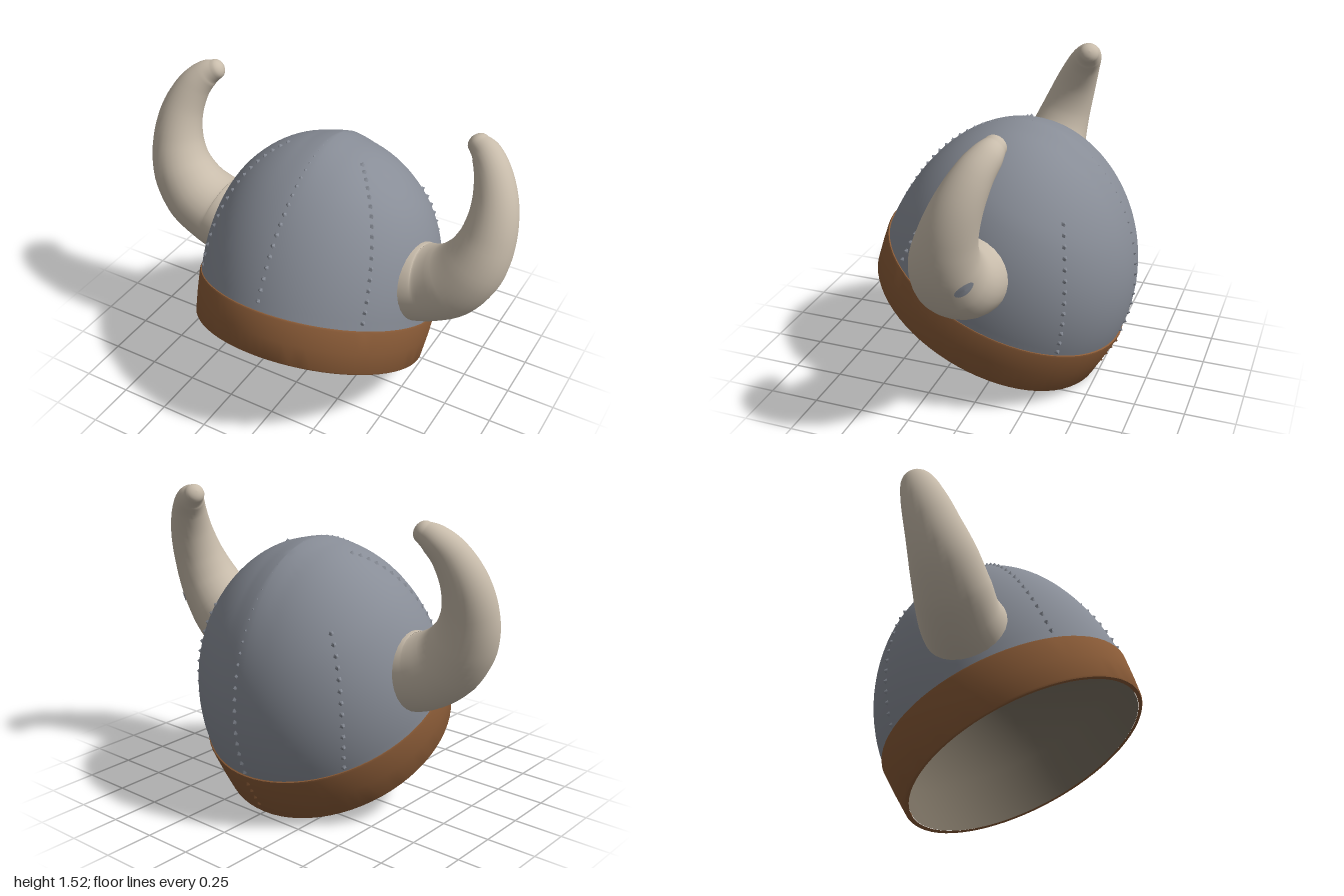
import * as THREE from 'three';
import { mergeVertices, mergeGeometries, toCreasedNormals } from 'three/addons/utils/BufferGeometryUtils.js';

const mat = (name, color) => new THREE.MeshStandardMaterial({ name, color });
const V2 = (x, y) => new THREE.Vector2(x, y);
const V3 = (x, y, z) => new THREE.Vector3(x, y, z);

// Helmet shell: narrower in x with fuller shoulders, upper part leans slightly forward
const R = 0.65, H = 0.82, BASE = 0.24;
const rise = v => Math.max(0, (v - BASE) / H);
const narrow = v => 0.93 + 0.06 * Math.min(1, rise(v) * 1.5);
const lean = v => 0.08 * rise(v) ** 2;
// The band is a little taller at the back
const slant = (y, z) => y + z * (0.02 - 0.16 * y);

function shellPoint(az, t) {
  const r = R * Math.cos(t), v = BASE + H * Math.sin(t);
  return V3(r * Math.sin(az) * narrow(v), v, r * Math.cos(az) + lean(v));
}

function shellNormal(az, t) {
  return V3(Math.cos(t) * Math.sin(az) / R, Math.sin(t) / H, Math.cos(t) * Math.cos(az) / R).normalize();
}

// Half shell of the given scale above the lower points, facing out or in
function shellGeometry(scale, lower, inward, ridge) {
  const pts = [...lower];
  for (let i = 0; i <= 28; i++) {
    const t = i / 28 * Math.PI / 2;
    pts.push(V2(i === 28 ? 0 : R * scale * Math.cos(t), BASE + H * scale * Math.sin(t)));
  }
  if (inward) pts.reverse();
  const lathe = new THREE.LatheGeometry(pts, 72);
  const p = lathe.attributes.position;
  for (let i = 0; i < p.count; i++) {
    const y = p.getY(i), x = p.getX(i) * narrow(y), z = p.getZ(i);
    const crest = ridge * Math.max(0, 1 - Math.abs(x) / 0.1) * Math.max(0, (y - 0.6) / 0.5);
    p.setXYZ(i, x, y < 0.1 ? slant(y, z) : y + crest, z + lean(y));
  }
  lathe.deleteAttribute('uv');
  lathe.deleteAttribute('normal');
  const g = mergeVertices(lathe, 1e-5);
  g.computeVertexNormals();
  return g;
}

// Brow band, open on the inside where the lining covers it
function bandGeometry() {
  const profile = [[0.615, 0.002], [0.634, 0], [0.639, 0.008], [0.651, 0.12], [0.66, 0.238],
    [0.657, 0.247], [0.64, 0.25]].map(([x, y]) => V2(x, y));
  const g = new THREE.LatheGeometry(profile, 72).scale(0.925, 1, 1);
  const p = g.attributes.position;
  for (let i = 0; i < p.count; i++) p.setY(i, slant(p.getY(i), p.getZ(i)));
  return toCreasedNormals(g, 0.7);
}

// Small pointed stitches placed on the given points and normals
function stitches(list) {
  const up = V3(0, 1, 0);
  return mergeGeometries(list.map(({ p, n }) => {
    const g = new THREE.ConeGeometry(0.02, 0.02, 5).translate(0, 0.003, 0);
    g.applyQuaternion(new THREE.Quaternion().setFromUnitVectors(up, n));
    return g.translate(p.x, p.y, p.z);
  }));
}

// Seam running up the shell, its azimuth turning from az0 to az1
function seam(az0, az1, t0, t1) {
  const n = Math.round((t1 - t0) * 0.74 / 0.05);
  return Array.from({ length: n + 1 }, (_, i) => {
    const az = az0 + (az1 - az0) * i / n, t = t0 + (t1 - t0) * i / n;
    return { p: shellPoint(az, t), n: shellNormal(az, t) };
  });
}

// Horn centre line and radius at each station, for the +x side
const hornPath = new THREE.CatmullRomCurve3([
  V3(0.535, 0.743, 0), V3(0.625, 0.765, 0), V3(0.735, 0.835, 0.01), V3(0.826, 0.955, 0), V3(0.87, 1.1, -0.035),
  V3(0.867, 1.25, -0.085), V3(0.82, 1.38, -0.14), V3(0.765, 1.445, -0.178), V3(0.718, 1.474, -0.195)]);
const hornRadius = [0.198, 0.188, 0.178, 0.157, 0.13, 0.108, 0.086, 0.07, 0.052];

function hornPoint(t, a, lift = 0, shrink = 1) {
  const c = hornPath.getPoint(t), tan = hornPath.getTangent(t);
  const f = Math.min(t * 8, 7.999), i = Math.floor(f);
  const r = (hornRadius[i] + (hornRadius[i + 1] - hornRadius[i]) * (f - i)) * shrink + lift;
  const side = V3(0, 0, 1).addScaledVector(tan, -tan.z).normalize();
  const out = side.clone().cross(tan).negate();
  return c.addScaledVector(out, r * Math.cos(a)).addScaledVector(side, r * Math.sin(a) * 1.03);
}

// Join equal rings of points into a skin and close the last ring
function skin(rings) {
  const n = rings[0].length, pos = rings.flat().flatMap(p => [p.x, p.y, p.z]), idx = [];
  for (let i = 0; i < rings.length - 1; i++)
    for (let j = 0; j < n; j++) {
      const k = (j + 1) % n, a = i * n + j, b = i * n + k;
      idx.push(a, b, a + n, b, b + n, a + n);
    }
  const o = (rings.length - 1) * n;
  for (let j = 1; j < n - 1; j++) idx.push(o, o + j, o + j + 1);
  const g = new THREE.BufferGeometry();
  g.setAttribute('position', new THREE.Float32BufferAttribute(pos, 3));
  g.setIndex(idx);
  g.computeVertexNormals();
  return g;
}

function hornGeometry() {
  const rings = [], n = 28;
  const ring = fn => Array.from({ length: n }, (_, j) => fn(-j / n * Math.PI * 2));
  for (let i = 0; i <= 48; i++) rings.push(ring(a => hornPoint(i / 48, a)));
  // rounded tip
  const tan = hornPath.getTangent(1);
  for (let k = 1; k <= 6; k++) {
    const b = k / 6 * Math.PI / 2 * 0.98;
    rings.push(ring(a => hornPoint(1, a, 0, Math.cos(b)).addScaledVector(tan, 0.042 * Math.sin(b))));
  }
  return skin(rings);
}

// Mirror in x, reversing the winding
function mirrored(geo) {
  const g = geo.clone().scale(-1, 1, 1), ix = g.index.array;
  for (let i = 0; i < ix.length; i += 3) [ix[i], ix[i + 1]] = [ix[i + 1], ix[i]];
  g.computeVertexNormals();
  return g;
}

export function createModel() {
  const steel = mat('steel grey', 0x888d97);
  const leather = mat('leather brown', 0x8a5b37);
  const bone = mat('bone beige', 0xc8bcab);
  const taupe = mat('lining taupe', 0x746b5d);
  const model = new THREE.Group();
  model.name = 'hornedHelmet';
  const add = (parent, name, geo, material) => {
    const m = new THREE.Mesh(geo, material);
    m.name = name;
    parent.add(m);
  };

  // Tilted cap with a hollow lining that reaches the lower rim
  const cap = new THREE.Group();
  cap.name = 'cap';
  cap.position.set(0, 0.28, 0.105);
  cap.rotation.x = -0.426;
  model.add(cap);
  add(cap, 'dome', shellGeometry(1, [V2(R, 0.18)], false, 0.014), steel);
  add(cap, 'lining', shellGeometry(0.955, [V2(0.613, 0.002), V2(0.618, 0.12)], true, 0), taupe);
  add(cap, 'browBand', bandGeometry(), leather);

  // Seams: one over the middle, four on the quarters
  const q = 0.84;
  const list = [...seam(0, 0, 0.05, 1.54), ...seam(Math.PI, Math.PI, 0.05, 1.5)];
  for (const s of [1, -1])
    list.push(...seam(s * q, s * 0.78, 0.05, 1.1), ...seam(s * (Math.PI - q), s * (Math.PI - 1.06), 0.05, 0.85));
  add(cap, 'seamStitches', stitches(list), steel);
  const bandList = [0.06, 0.11, 0.16, 0.21].map(v => ({ p: V3(0, v, -0.638 - v * 0.09), n: V3(0, 0, -1) }));
  add(cap, 'bandStitches', stitches(bandList), leather);

  // Horns
  const horn = hornGeometry();
  add(model, 'leftHorn', horn, bone);
  add(model, 'rightHorn', mirrored(horn), bone);

  // Worn grey patch on the left horn
  const patch = [1, 0.5, 0.02].map(s => Array.from({ length: 16 }, (_, j) => {
    const b = j / 16 * Math.PI * 2, u = s * Math.cos(b), w = -s * Math.sin(b);
    return hornPoint(0.36 + 0.024 * w - 0.006 * u, -0.84 + 0.3 * u, 0.004);
  }));
  add(model, 'hornPatch', skin(patch), steel);
  return model;
}
